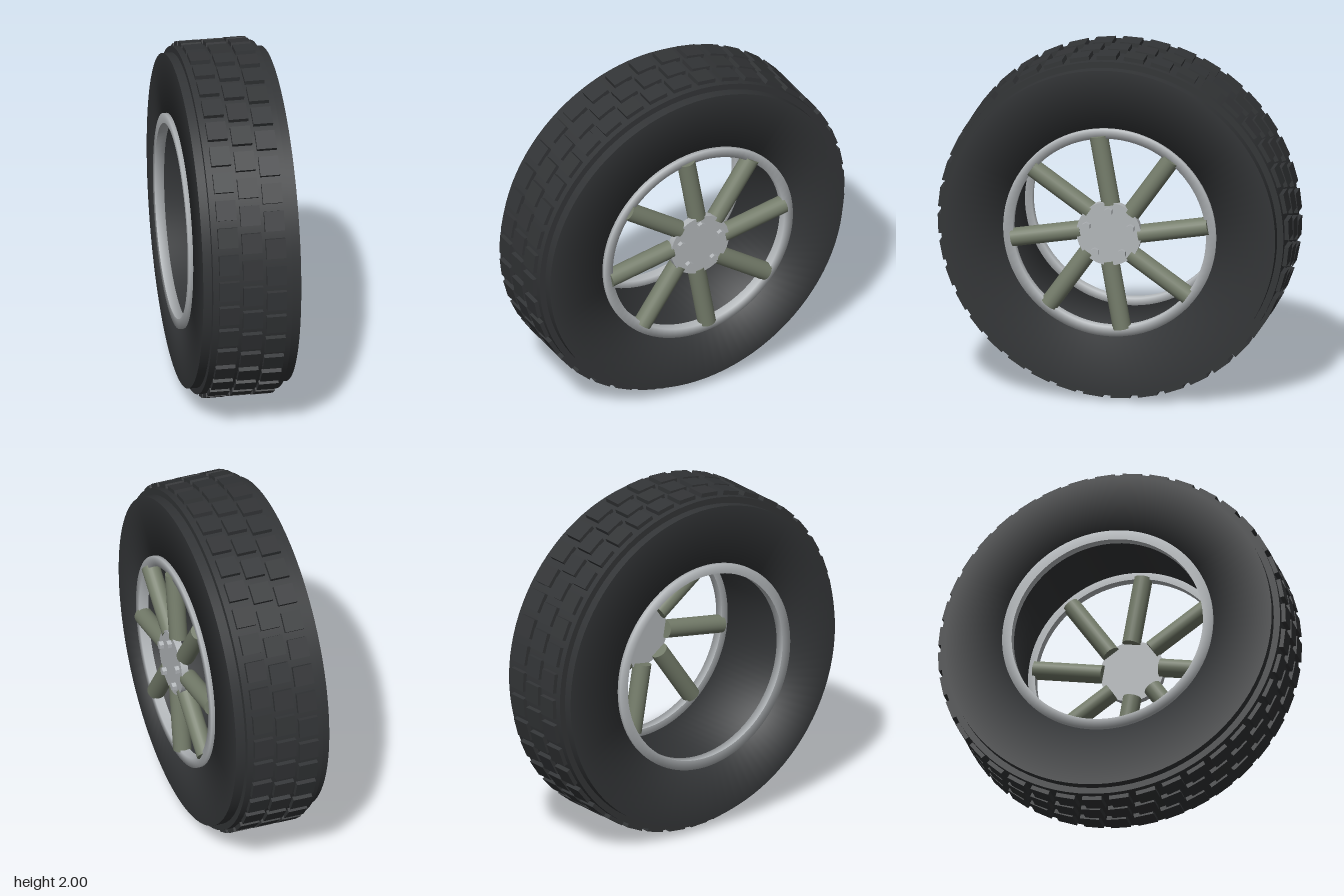
import * as THREE from 'three';

const rubber = new THREE.MeshStandardMaterial({ color: 0x333537, side: THREE.DoubleSide });
const steel = new THREE.MeshStandardMaterial({ color: 0xb2b6b9 });
const olive = new THREE.MeshStandardMaterial({ color: 0x757d6b });

function add(parent, name, geometry, material) {
  const mesh = new THREE.Mesh(geometry, material);
  mesh.name = name;
  parent.add(mesh);
  return mesh;
}

// Ring of revolution around x; profile holds [radius, x] pairs
function ring(profile) {
  return new THREE.LatheGeometry(profile.map(([r, x]) => new THREE.Vector2(r, x)), 96)
    .rotateZ(-Math.PI / 2);
}

export function createModel() {
  const model = new THREE.Group();
  model.name = 'wheel';
  const wheel = new THREE.Group();
  wheel.name = 'wheelAssembly';
  wheel.position.y = 1;
  model.add(wheel);

  // Tyre: sidewalls blending into the open barrel, with a crisp outer shoulder
  add(wheel, 'sidewallsAndBarrel', ring([
    [0.94, 0.255], [0.59, 0.255], [0.59, -0.3], [0.94, -0.3],
  ]), rubber);
  add(wheel, 'shoulder', ring([[0.94, -0.3], [0.94, 0.255]]), rubber);

  // Open tread belt with its two narrow side faces
  add(wheel, 'treadBelt', ring([[0.976, -0.25], [0.976, 0.2]]), rubber);
  add(wheel, 'beltEdge', ring([[0.94, -0.25], [0.976, -0.25]]), rubber);
  add(wheel, 'beltEdge', ring([[0.976, 0.2], [0.94, 0.2]]), rubber);

  // Three staggered rows of tread blocks
  const blockCount = 40;
  const blockGeometry = new THREE.BoxGeometry(0.112, 0.04, 0.112);
  [-1, 0, 1].forEach((row) => {
    const treadRow = new THREE.Group();
    treadRow.name = 'treadRow';
    wheel.add(treadRow);
    for (let i = 0; i < blockCount; i++) {
      const a = (i / blockCount) * Math.PI * 2 + row * 0.04;
      const block = add(treadRow, 'treadBlock', blockGeometry, rubber);
      block.position.set(-0.025 + row * 0.134, Math.cos(a) * 0.979, Math.sin(a) * 0.979);
      block.rotation.x = a;
    }
  });

  // Rim bands on both sides, square in section with soft shading
  const rimGeometry = ring([
    [0.55, -0.027], [0.605, -0.027], [0.605, 0.027], [0.55, 0.027], [0.55, -0.027],
  ]);
  for (const x of [-0.295, 0.25]) {
    add(wheel, 'rim', rimGeometry, steel).position.x = x;
  }

  // Thin hub disc
  const hub = new THREE.CylinderGeometry(0.184, 0.184, 0.04, 32).rotateZ(-Math.PI / 2);
  add(wheel, 'hub', hub, steel).position.x = 0.275;

  // Spokes, each leaning ten degrees off the radial line
  const spokeGeometry = new THREE.CylinderGeometry(0.052, 0.052, 0.4, 24).translate(0, 0.185, 0);
  for (let i = 0; i < 8; i++) {
    const arm = new THREE.Group();
    arm.name = 'spokeArm';
    arm.rotation.x = (i * Math.PI) / 4;
    wheel.add(arm);
    const spoke = add(arm, 'spoke', spokeGeometry, olive);
    spoke.position.set(0.25, 0.18, 0);
    spoke.rotation.x = THREE.MathUtils.degToRad(10);
  }

  // Five hexagonal wheel bolts
  const bolt = new THREE.CylinderGeometry(0.024, 0.024, 0.05, 6)
    .rotateZ(-Math.PI / 2).rotateX(Math.PI / 2).toNonIndexed();
  bolt.computeVertexNormals();
  for (let i = 0; i < 5; i++) {
    const a = (i / 5) * Math.PI * 2;
    add(wheel, 'bolt', bolt, steel).position.set(0.295, Math.cos(a) * 0.132, Math.sin(a) * 0.132);
  }
  return model;
}
